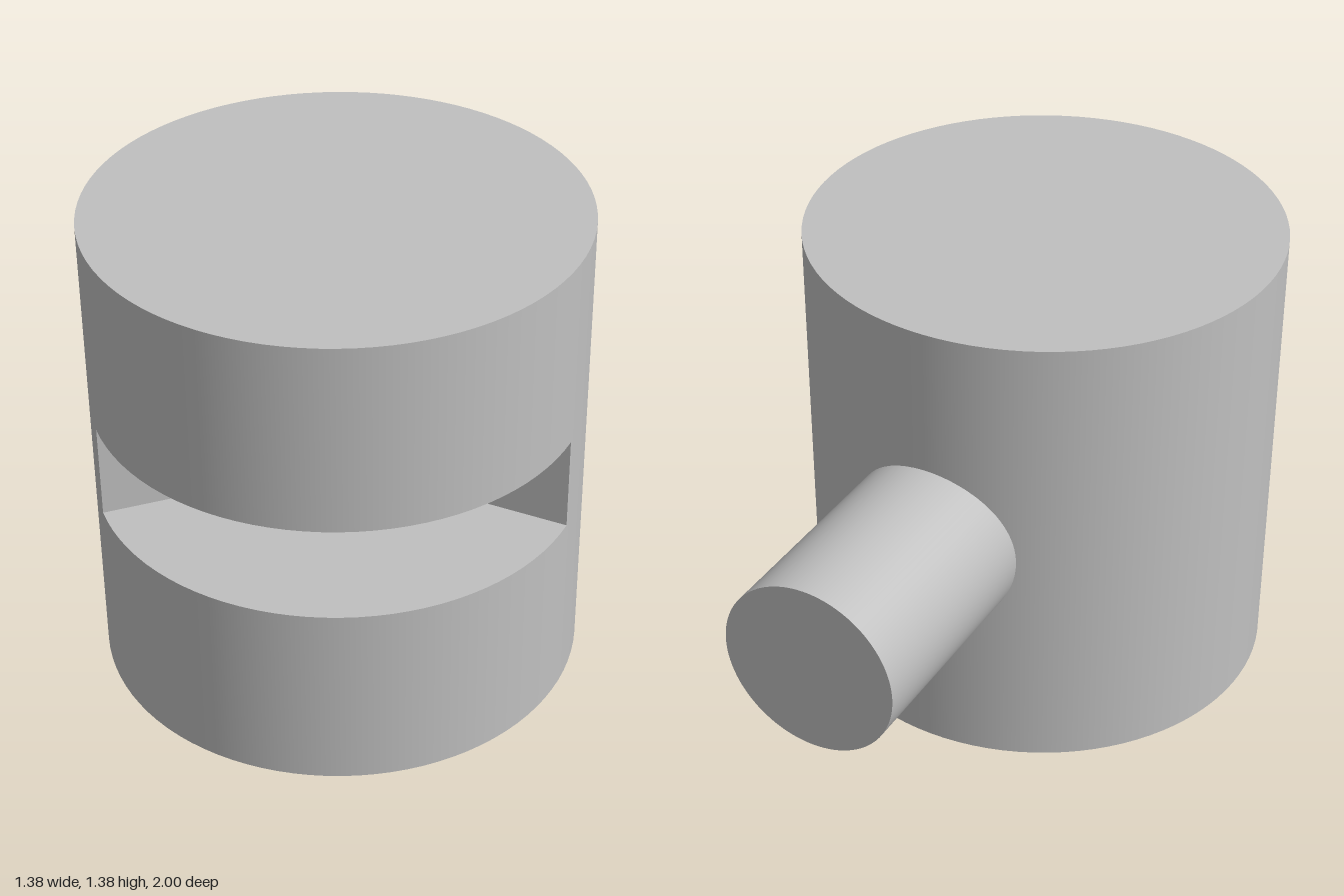
import * as THREE from 'three';

const R = 0.692, H = 1.385, AXIS_Z = 0.308;   // main drum
const SLOT_LOW = 0.555, SLOT_HIGH = 0.833;    // wedge slot heights
const POST_R = 0.257, POST_START = -0.28, POST_END = -1;
const SEGMENTS = 96;

export function createModel() {
  const model = new THREE.Group();
  model.name = 'slottedDrumWithPost';
  const grey = new THREE.MeshStandardMaterial({ color: 0xc0c0c0 });
  grey.name = 'plain grey';

  const add = (name, geometry, x, y, z, parent = model) => {
    const mesh = new THREE.Mesh(geometry, grey);
    mesh.name = name;
    mesh.position.set(x, y, z);
    parent.add(mesh);
    return mesh;
  };

  const drum = new THREE.Group();
  drum.name = 'drum';
  drum.position.z = AXIS_Z;
  model.add(drum);

  // Full discs below and above the slot; their caps are its floor and ceiling
  for (const [name, low, high] of [['lowerDrum', 0, SLOT_LOW], ['upperDrum', SLOT_HIGH, H]]) {
    add(name, new THREE.CylinderGeometry(R, R, high - low, SEGMENTS), 0, (low + high) / 2, 0, drum);
  }

  // Middle band: the 225 degrees left standing beside the 135 degree slot
  const slotHeight = SLOT_HIGH - SLOT_LOW, slotY = (SLOT_LOW + SLOT_HIGH) / 2;
  add('middleBand', new THREE.CylinderGeometry(R, R, slotHeight, SEGMENTS * 225 / 360, 1, true,
    Math.PI / 2, Math.PI * 1.25), 0, slotY, 0, drum);

  // Slot walls, running from the drum's axis to its rim
  const wall = () => new THREE.PlaneGeometry(R, slotHeight);
  add('slotWallLeft', wall(), R / 2, slotY, 0, drum);
  const d = R / 2 * Math.SQRT1_2;
  add('slotWallRight', wall(), -d, slotY, d, drum).rotation.y = Math.PI / 4;

  // Horizontal post entering the back of the drum
  const post = add('rearPost', new THREE.CylinderGeometry(POST_R, POST_R, POST_START - POST_END, SEGMENTS),
    0, H / 2, (POST_START + POST_END) / 2);
  post.rotation.x = -Math.PI / 2;

  return model;
}
